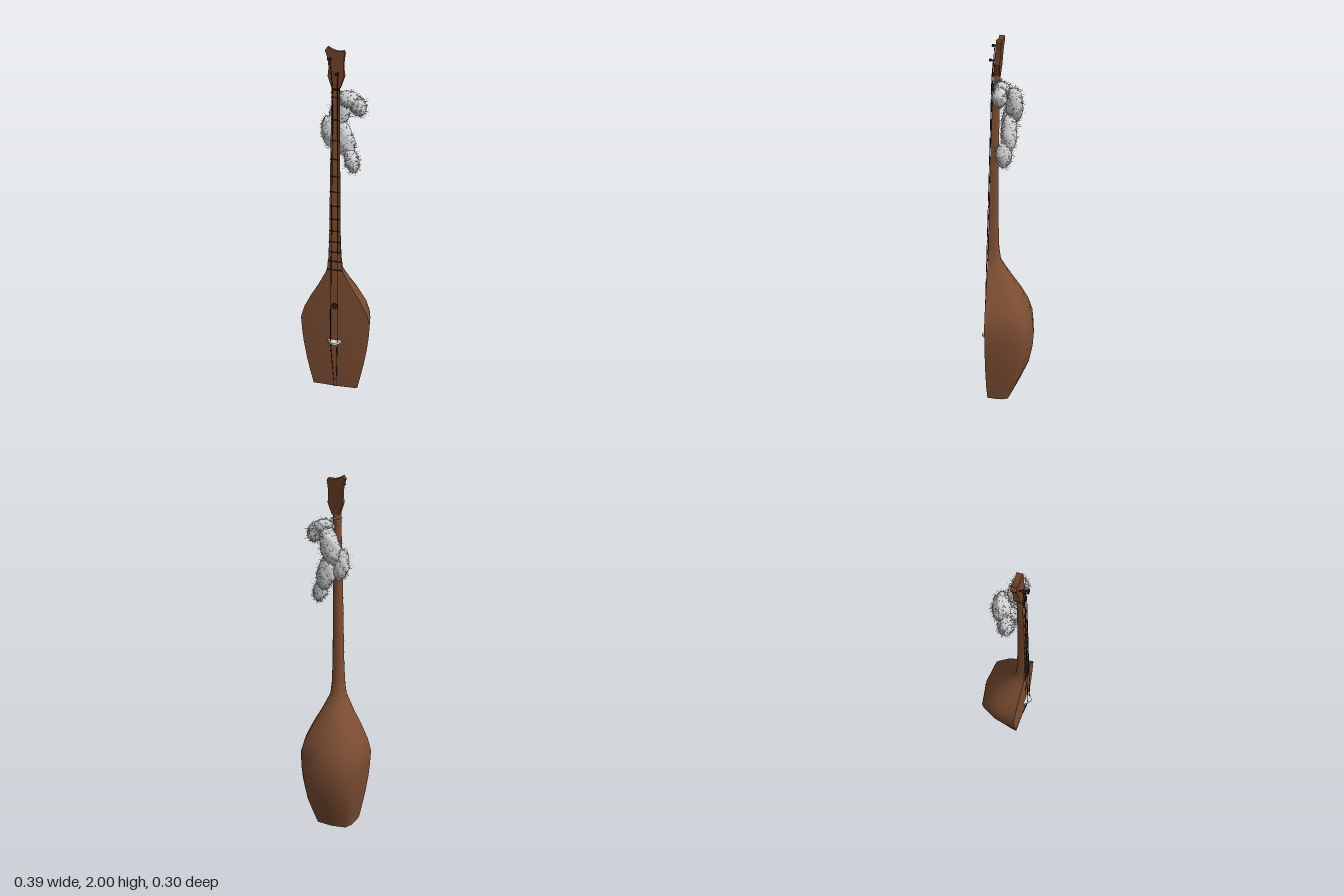
import * as THREE from 'three';
import { toCreasedNormals } from 'three/addons/utils/BufferGeometryUtils.js';

const wood = new THREE.MeshStandardMaterial({ color: 0x7d4e33 });
wood.name = 'wood';
const darkWood = new THREE.MeshStandardMaterial({ color: 0x6e4028 });
darkWood.name = 'dark wood';
const dark = new THREE.MeshStandardMaterial({ color: 0x2e1c12 });
dark.name = 'dark string';
const ivory = new THREE.MeshStandardMaterial({ color: 0xdcdad6 });
ivory.name = 'ivory';
const fur = new THREE.MeshStandardMaterial({ color: 0xd4d4d4, side: THREE.DoubleSide });
fur.name = 'pale fur';

// Cross-sections: height, half width, front edge z, back z, front bulge
const SECTIONS = [
  [0.02, 0.13, 0.093, -0.025, 0.006], [0.1, 0.147, 0.096, -0.075, 0.009],
  [0.2, 0.167, 0.096, -0.12, 0.012], [0.3, 0.183, 0.095, -0.142, 0.014],
  [0.38, 0.192, 0.094, -0.148, 0.015], [0.47, 0.197, 0.094, -0.138, 0.014],
  [0.54, 0.177, 0.095, -0.115, 0.013], [0.62, 0.138, 0.097, -0.073, 0.011],
  [0.7, 0.092, 0.1, -0.022, 0.008], [0.76, 0.062, 0.102, 0.015, 0.006],
  [0.8, 0.043, 0.103, 0.038, 0.005], [0.87, 0.035, 0.101, 0.047, 0.004],
  [1.0, 0.03, 0.098, 0.05, 0.003], [1.4, 0.025, 0.088, 0.048, 0.003], [1.82, 0.02, 0.069, 0.038, 0.002],
];

// Interpolated section value at height y
function sectionAt(y, k) {
  let i = 0;
  while (i < SECTIONS.length - 2 && SECTIONS[i + 1][0] < y) i++;
  const a = SECTIONS[i], b = SECTIONS[i + 1];
  return THREE.MathUtils.lerp(a[k], b[k], (y - a[0]) / (b[0] - a[0]));
}
const frontZ = (y) => sectionAt(y, 2) + sectionAt(y, 4);

function add(group, name, geo, mat, x = 0, y = 0, z = 0) {
  const m = new THREE.Mesh(geo, mat);
  m.name = name;
  m.position.set(x, y, z);
  group.add(m);
  return m;
}

// Bowl and neck lofted through the sections
function bodyGeometry() {
  const pos = [], idx = [];
  SECTIONS.forEach(([y, w, zf, zb, bulge], i) => {
    const d = zf - zb;
    const half = [[w, zf], [0.94 * w, zf - 0.35 * d], [0.85 * w, zf - 0.66 * d], [0.66 * w, zb + 0.08 * d]];
    const ring = [[0, zf + bulge], ...half, [0, zb], ...half.map(([x, z]) => [-x, z]).reverse()];
    // The base slopes down toward the back
    ring.forEach(([x, z]) => pos.push(x, i === 0 ? y - 0.02 * (zf - z) / d : y, z));
  });
  const n = 10, last = (SECTIONS.length - 1) * n;
  for (let i = 0; i < SECTIONS.length - 1; i++) {
    for (let j = 0; j < n; j++) {
      const a = i * n + j, b = i * n + (j + 1) % n;
      idx.push(a, b, b + n, a, b + n, a + n);
    }
  }
  for (let j = 1; j < n - 1; j++) idx.push(0, j + 1, j, last, last + j, last + j + 1);
  const g = new THREE.BufferGeometry();
  g.setAttribute('position', new THREE.Float32BufferAttribute(pos, 3));
  g.setIndex(idx);
  return toCreasedNormals(g, 1.15);
}

function cord(points, r) {
  const path = new THREE.CurvePath();
  const v = points.map((p) => new THREE.Vector3(...p));
  for (let i = 0; i < v.length - 1; i++) path.add(new THREE.LineCurve3(v[i], v[i + 1]));
  return new THREE.TubeGeometry(path, 24, r, 5);
}

let seed = 7;
function rand() {
  seed = (seed * 16807) % 2147483647;
  return seed / 2147483647;
}

// Lumpy lobe of fur with short hairs standing on it
function furLobe(group, [cx, cy, cz, rx, ry, rz, tilt]) {
  const lobe = new THREE.Group();
  lobe.name = 'furLobe';
  lobe.position.set(cx, cy, cz);
  lobe.rotation.z = tilt;
  const g = new THREE.SphereGeometry(1, 20, 14);
  const p = g.attributes.position, v = new THREE.Vector3();
  for (let i = 0; i < p.count; i++) {
    v.fromBufferAttribute(p, i);
    const s = 1 + 0.06 * Math.sin(7 * v.x + 3 * cy) * Math.sin(8 * v.y) + 0.04 * Math.sin(9 * v.z + 5 * v.y);
    p.setXYZ(i, v.x * rx * s, v.y * ry * s, v.z * rz * s);
  }
  g.computeVertexNormals();
  add(lobe, 'furCore', g, fur);

  const hairs = [], side = new THREE.Vector3(), tip = new THREE.Vector3();
  for (let i = 0; i < 380; i++) {
    const u = rand() * 2 - 1, t = rand() * Math.PI * 2, q = Math.sqrt(1 - u * u);
    v.set(q * Math.cos(t) * rx, u * ry, q * Math.sin(t) * rz);
    tip.set(v.x / (rx * rx), v.y / (ry * ry), v.z / (rz * rz)).normalize();
    tip.x += (rand() - 0.5) * 0.9;
    tip.y += (rand() - 0.7) * 0.9;
    tip.z += (rand() - 0.5) * 0.9;
    tip.multiplyScalar(0.008 + 0.013 * rand()).add(v);
    side.set(rand() - 0.5, rand() - 0.5, rand() - 0.5).setLength(0.0011);
    hairs.push(v.x - side.x, v.y - side.y, v.z - side.z, v.x + side.x, v.y + side.y, v.z + side.z, tip.x, tip.y, tip.z);
  }
  const h = new THREE.BufferGeometry();
  h.setAttribute('position', new THREE.Float32BufferAttribute(hairs, 3));
  h.computeVertexNormals();
  add(lobe, 'furHairs', h, fur);
  group.add(lobe);
}

export function createModel() {
  const model = new THREE.Group();
  model.name = 'longNeckedLute';
  add(model, 'bowlAndNeck', bodyGeometry(), wood);

  // Waisted headstock leaning back, with two pegs
  const head = new THREE.Group();
  head.name = 'headstock';
  head.position.set(0, 1.8, 0.04);
  head.rotation.x = -0.09;
  const s = new THREE.Shape();
  s.moveTo(-0.02, 0);
  s.lineTo(0.02, 0);
  s.lineTo(0.041, 0.06);
  s.quadraticCurveTo(0.03, 0.11, 0.041, 0.17);
  s.lineTo(0.036, 0.184);
  s.quadraticCurveTo(-0.01, 0.172, -0.044, 0.2);
  s.lineTo(-0.057, 0.182);
  s.quadraticCurveTo(-0.03, 0.12, -0.042, 0.06);
  s.closePath();
  add(head, 'headPlate', new THREE.ExtrudeGeometry(s, { depth: 0.028, bevelEnabled: false, curveSegments: 6 }), darkWood);
  for (const [x, y] of [[-0.028, 0.145], [0.01, 0.075]]) {
    add(head, 'pegShaft', new THREE.CylinderGeometry(0.005, 0.005, 0.035, 8).rotateX(Math.PI / 2), dark, x, y, 0.04);
    add(head, 'pegKnob', new THREE.BoxGeometry(0.02, 0.012, 0.01), dark, x, y, 0.054);
  }
  model.add(head);

  // Frets tied across the neck
  for (let i = 0; i < 13; i++) {
    const y = 1.76 - 0.98 * (1 - Math.pow(0.93, i)) / (1 - Math.pow(0.93, 12.5));
    add(model, 'fret', new THREE.BoxGeometry(2 * sectionAt(y, 1), 0.005, 0.006), dark, 0, y, frontZ(y));
  }
  add(model, 'nut', new THREE.BoxGeometry(0.038, 0.01, 0.012), dark, 0, 1.8, 0.073);

  // Sound hole disc
  add(model, 'soundHole', new THREE.CylinderGeometry(0.02, 0.02, 0.006, 20).rotateX(Math.PI / 2), dark, 0, 0.575, 0.107);

  // Arched bridge
  const arch = new THREE.Shape();
  arch.moveTo(-0.04, 0);
  arch.lineTo(0.04, 0);
  arch.quadraticCurveTo(0.03, 0.028, 0, 0.04);
  arch.quadraticCurveTo(-0.03, 0.028, -0.04, 0);
  const bridge = add(model, 'bridge', new THREE.ExtrudeGeometry(arch, { depth: 0.014, bevelEnabled: false, curveSegments: 6 }), ivory, 0, 0.352, 0.107);
  bridge.rotation.x = Math.PI / 2;

  // Strings from the base over the bridge to the pegs
  for (const [x, px, py] of [[-0.02, -0.028, 1.94], [0.02, 0.01, 1.87]]) {
    add(model, 'string', cord([[x * 0.3, 0.02, 0.098], [x, 0.345, 0.129], [x * 0.6, 1.8, 0.08], [px, py, 0.073]], 0.0022), dark);
  }

  // Fur tassel hung behind the neck: centre, radii, tilt
  const tassel = new THREE.Group();
  tassel.name = 'furTassel';
  [
    [0.105, 1.705, 0.022, 0.04, 0.05, 0.038, 0.3], [0.055, 1.737, 0.02, 0.055, 0.042, 0.04, -0.2],
    [0.0, 1.655, -0.035, 0.052, 0.095, 0.045, -0.2], [-0.045, 1.555, 0.0, 0.045, 0.085, 0.04, 0.1],
    [0.028, 1.51, -0.012, 0.05, 0.1, 0.042, 0.25], [0.07, 1.405, 0.008, 0.036, 0.065, 0.042, 0.25],
  ].forEach((lobe) => furLobe(tassel, lobe));
  add(tassel, 'tasselCord', cord([[-0.024, 1.78, 0.075], [-0.024, 1.78, 0.034], [0.024, 1.78, 0.034], [0.024, 1.78, 0.075]], 0.003), ivory);
  model.add(tassel);
  return model;
}
